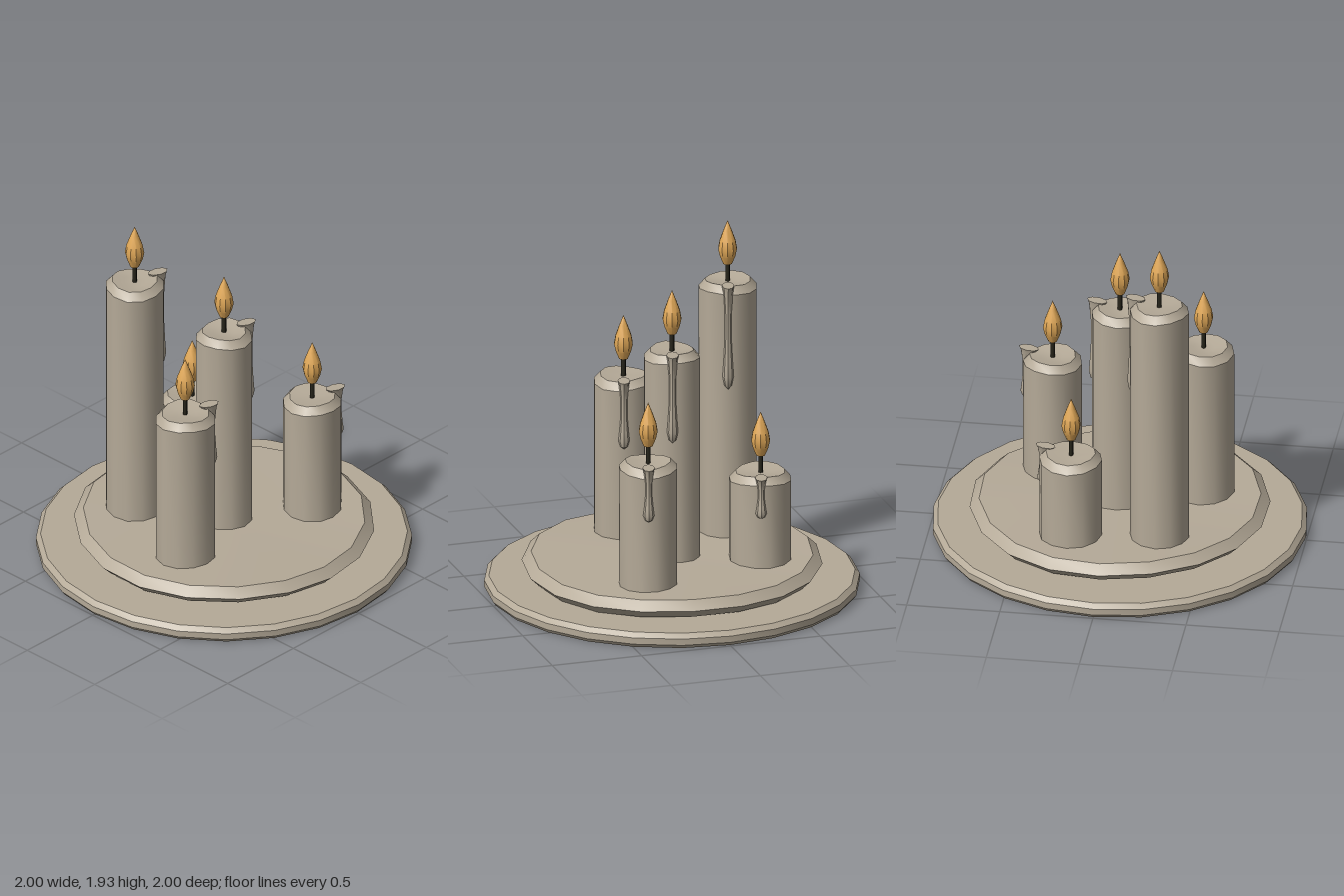
import * as THREE from 'three';
import { toCreasedNormals } from 'three/addons/utils/BufferGeometryUtils.js';

const wax = new THREE.MeshStandardMaterial({ color: 0xb5aa98 });
wax.name = 'wax';
const charred = new THREE.MeshStandardMaterial({ color: 0x26241a });
charred.name = 'charred wick';
const fire = new THREE.MeshStandardMaterial({ color: 0xdfa757 });
fire.name = 'flame';

// Turned solid from [radius, height] pairs, bottom to top, with an optional vertex rule
function turned(name, profile, sides, material, rule) {
  const geo = new THREE.LatheGeometry(profile.map(([r, y]) => new THREE.Vector2(r, y)), sides);
  if (rule) {
    const pos = geo.attributes.position;
    const v = new THREE.Vector3();
    for (let i = 0; i < pos.count; i++) {
      v.fromBufferAttribute(pos, i);
      rule(v);
      pos.setXYZ(i, v.x, v.y, v.z);
    }
  }
  const mesh = new THREE.Mesh(toCreasedNormals(geo, 0.6), material);
  mesh.name = name;
  return mesh;
}

function createCandle({ x, z, top, radius, dripEnd }, index) {
  const candle = new THREE.Group();
  candle.name = 'candle' + (index + 1);
  candle.position.set(x, 0, z);

  // Body with a softened, slightly uneven rim and a shallow melted dish
  const body = turned('candleBody', [
    [0, 0.13], [radius, 0.13], [radius, top - 0.04],
    [radius - 0.035, top], [0.06, top - 0.01], [0, top - 0.012],
  ], 12, wax, (v) => {
    const a = Math.atan2(v.z, v.x);
    const s = 1 + 0.018 * Math.sin(3 * a + index * 1.7);
    v.x *= s;
    v.z *= s;
    if (v.y > top - 0.05) v.y += 0.05 * Math.hypot(v.x, v.z) * Math.sin(2 * a + index);
  });

  // Wax run: spreads over the rim, thins out, ends in a bead
  const length = top + 0.01 - dripEnd;
  const drip = turned('waxDrip', [
    [0, 0], [0.02, 0.04], [0.03, 0.13], [0.024, 0.28], [0.018, 0.5],
    [0.018, 0.74], [0.028, 0.95], [0.033, 1], [0, 1],
  ].map(([r, t]) => [r, t * length]), 8, wax, (v) => {
    const flare = Math.max(0, (v.y / length - 0.74) / 0.26);
    v.x = v.x * (1 + 0.75 * flare) - 0.018 * flare + radius;
  });
  drip.position.y = dripEnd;
  drip.rotation.y = -0.3;

  const wick = new THREE.Mesh(new THREE.CylinderGeometry(0.013, 0.013, 0.12, 6), charred);
  wick.name = 'wick';
  wick.position.y = top + 0.045;

  const flame = turned('flame', [
    [0, 0], [0.024, 0], [0.043, 0.045], [0.052, 0.085], [0.044, 0.13], [0.022, 0.19], [0, 0.245],
  ], 10, fire);
  flame.position.y = top + 0.085;

  candle.add(body, drip, wick, flame);
  return candle;
}

export function createModel() {
  const model = new THREE.Group();
  model.name = 'candleCluster';

  // Round plate with bevelled edges
  model.add(turned('plate', [
    [0, 0], [0.985, 0], [1, 0.02], [1, 0.055], [0.975, 0.08], [0, 0.08],
  ], 24, wax));

  // Wavy slab of pooled wax
  model.add(turned('waxPool', [
    [0, 0.095], [0.75, 0.092], [0.8, 0.14], [0.75, 0.188], [0, 0.183],
  ], 18, wax, (v) => {
    const a = Math.atan2(v.z, v.x);
    const r = Math.hypot(v.x, v.z);
    const s = 1 + 0.012 * Math.sin(3 * a + 0.5);
    v.x *= s;
    v.z *= s;
    v.y += 0.013 * r * (Math.sin(3 * a + 1) - v.x - v.z * 0.6);
  }));

  [
    { x: -0.27, z: -0.4, top: 1.6, radius: 0.158, dripEnd: 1.03 },
    { x: 0.2, z: -0.43, top: 0.675, radius: 0.168, dripEnd: 0.46 },
    { x: 0, z: 0, top: 1.34, radius: 0.152, dripEnd: 0.86 },
    { x: -0.43, z: 0.13, top: 1.07, radius: 0.162, dripEnd: 0.7 },
    { x: 0.4, z: 0.265, top: 0.87, radius: 0.158, dripEnd: 0.58 },
  ].forEach((spec, i) => model.add(createCandle(spec, i)));

  return model;
}
